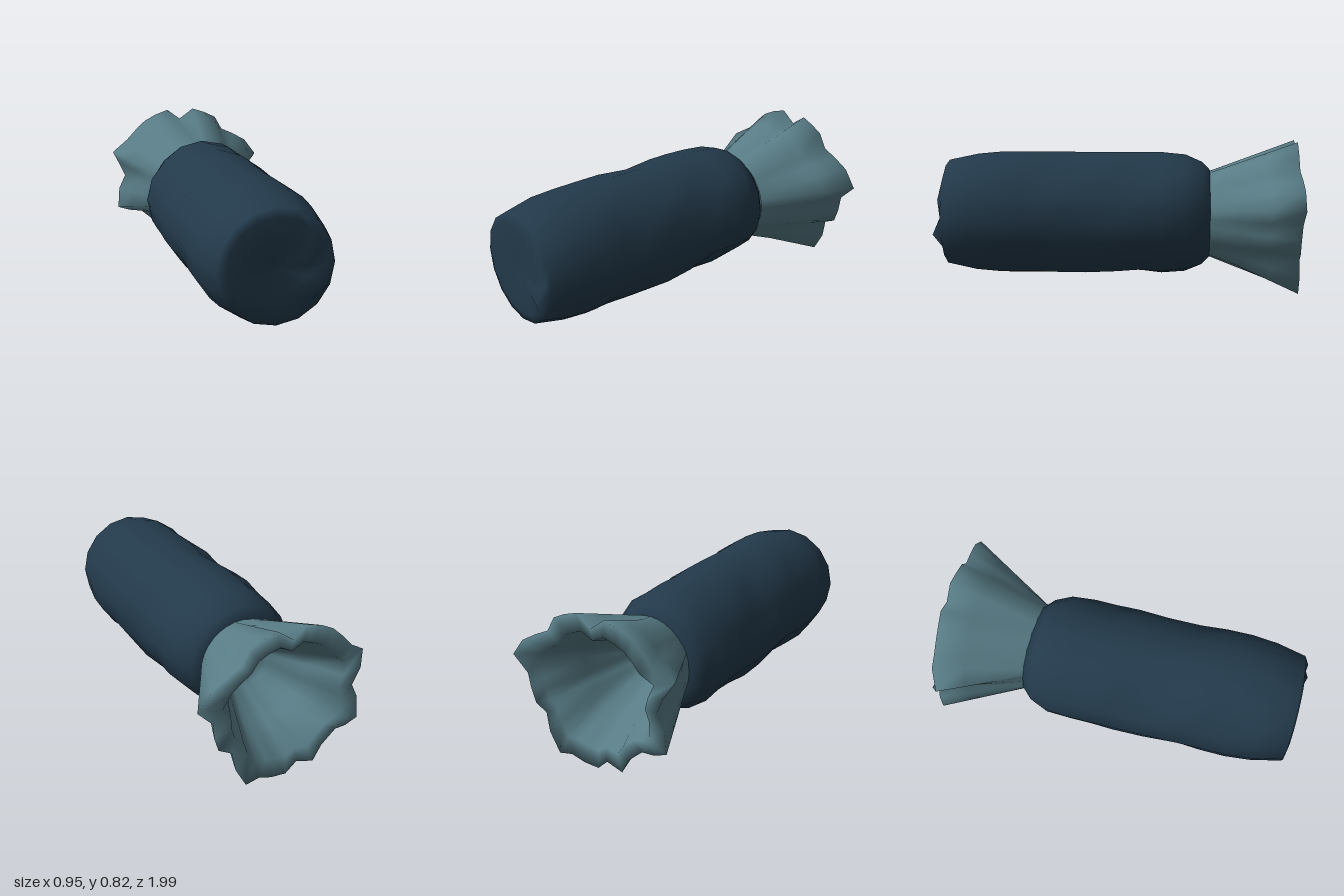
import * as THREE from 'three';

const fabric = new THREE.MeshStandardMaterial({ color: 0x233a4b });
fabric.name = 'dark blue fabric';
const lining = new THREE.MeshStandardMaterial({ color: 0x587c86, side: THREE.DoubleSide });
lining.name = 'pale teal cloth';

// Joins closed rings of points, listed from front to back and counterclockwise seen from the front
function loft(rings) {
  const n = rings[0].length, pos = rings.flat(2), idx = [];
  for (let i = 0; i < rings.length - 1; i++) {
    for (let j = 0; j < n; j++) {
      const k = (j + 1) % n, a = i * n + j, b = a + n, c = i * n + k, d = c + n;
      idx.push(a, b, d, a, d, c);
    }
  }
  const g = new THREE.BufferGeometry();
  g.setAttribute('position', new THREE.Float32BufferAttribute(pos, 3));
  g.setIndex(idx);
  g.computeVertexNormals();
  return g;
}

const ringOf = (n, f) => Array.from({ length: n }, (_, j) => f((j / n) * Math.PI * 2, j));

// Soft dents pressed into the sack: angle, z, depth
const DENTS = [
  [0.75, 0.3, 0.035], [0.85, -0.15, 0.03], [2.3, 0.17, 0.045], [2.4, 0.6, 0.03],
  [2.4, -0.3, 0.025], [0.0, 0.17, 0.025], [4.7, -0.08, 0.02], [5.5, -0.12, 0.045],
  [5.5, 0.5, 0.025], [3.9, 0.35, 0.04], [3.9, -0.2, 0.03], [5.4, -0.35, 0.03],
];
function dent(angle, z) {
  let sum = 0;
  for (const [a, dz, depth] of DENTS) {
    const da = Math.atan2(Math.sin(angle - a), Math.cos(angle - a));
    sum += depth * Math.exp(-((da / 0.35) ** 2) - ((z - dz) / 0.12) ** 2);
  }
  return sum;
}

// Filled body: [z, radius]
const BODY = [
  [0.95, 0], [0.955, 0.15], [0.955, 0.25], [0.945, 0.295], [0.78, 0.33], [0.64, 0.343],
  [0.5, 0.343], [0.35, 0.343], [0.17, 0.343], [0, 0.343], [-0.12, 0.343], [-0.25, 0.343],
  [-0.38, 0.33], [-0.47, 0.29], [-0.525, 0.235], [-0.525, 0],
];
function bodyGeometry() {
  return loft(BODY.map(([z, r]) => ringOf(16, (a, j) => {
    const rad = r && z < 0.7 && z > -0.45 ? r - dent(a, z) : r;
    const bump = j === 15 && r === 0.25 ? 0.045 : j === 1 && r === 0.25 ? 0.015 : 0;
    return [-0.053 + rad * Math.cos(a), 0.417 + rad * Math.sin(a), z + bump];
  })));
}

// Ragged rim of the open cloth mouth, counterclockwise from +x
const RIM = [
  [0.39, 0.42], [0.475, 0.505], [0.405, 0.6], [0.32, 0.65], [0.245, 0.685], [0.2, 0.765],
  [0.13, 0.8], [0.055, 0.825], [-0.03, 0.765], [-0.11, 0.825], [-0.19, 0.8], [-0.26, 0.765],
  [-0.32, 0.71], [-0.375, 0.65], [-0.475, 0.585], [-0.435, 0.51], [-0.395, 0.42], [-0.435, 0.34],
  [-0.445, 0.215], [-0.375, 0.19], [-0.31, 0.19], [-0.23, 0.12], [-0.185, 0.035], [-0.09, 0.06],
  [-0.03, 0.003], [0.055, 0.01], [0.13, 0.035], [0.205, 0.02], [0.265, 0.125], [0.285, 0.225],
  [0.355, 0.26], [0.38, 0.335],
];
const CX = -0.035, CY = 0.419;
const neckRing = (r, z) => ringOf(RIM.length, (a) => [CX + r * Math.cos(a), CY + r * Math.sin(a), z]);
const mix = (p, q, t) => p.map((u, j) => u.map((v, k) => v + (q[j][k] - v) * t));

// Outer flare, lip folded inward, and the funnel gathered shut inside
function mouthGeometry() {
  const neck = neckRing(0.237, -0.51);
  const rim = ringOf(RIM.length, (a, j) =>
    [...RIM[j], j === 14 ? -0.94 : -0.98 - 0.006 * Math.sin(a * 5)]);
  const lip = mix(rim, neckRing(0.2, -0.96), 0.45);
  const throat = neckRing(0.13, -0.545);
  return loft([
    neck, mix(neck, rim, 0.33), mix(neck, rim, 0.67), rim,
    lip, mix(lip, throat, 0.5), throat, neckRing(0, -0.54),
  ]);
}

export function createModel() {
  const group = new THREE.Group();
  group.name = 'tiedSack';
  const add = (name, geometry, material) => {
    const mesh = new THREE.Mesh(geometry, material);
    mesh.name = name;
    group.add(mesh);
  };
  add('sackBody', bodyGeometry(), fabric);
  add('flaredMouth', mouthGeometry(), lining);
  return group;
}
